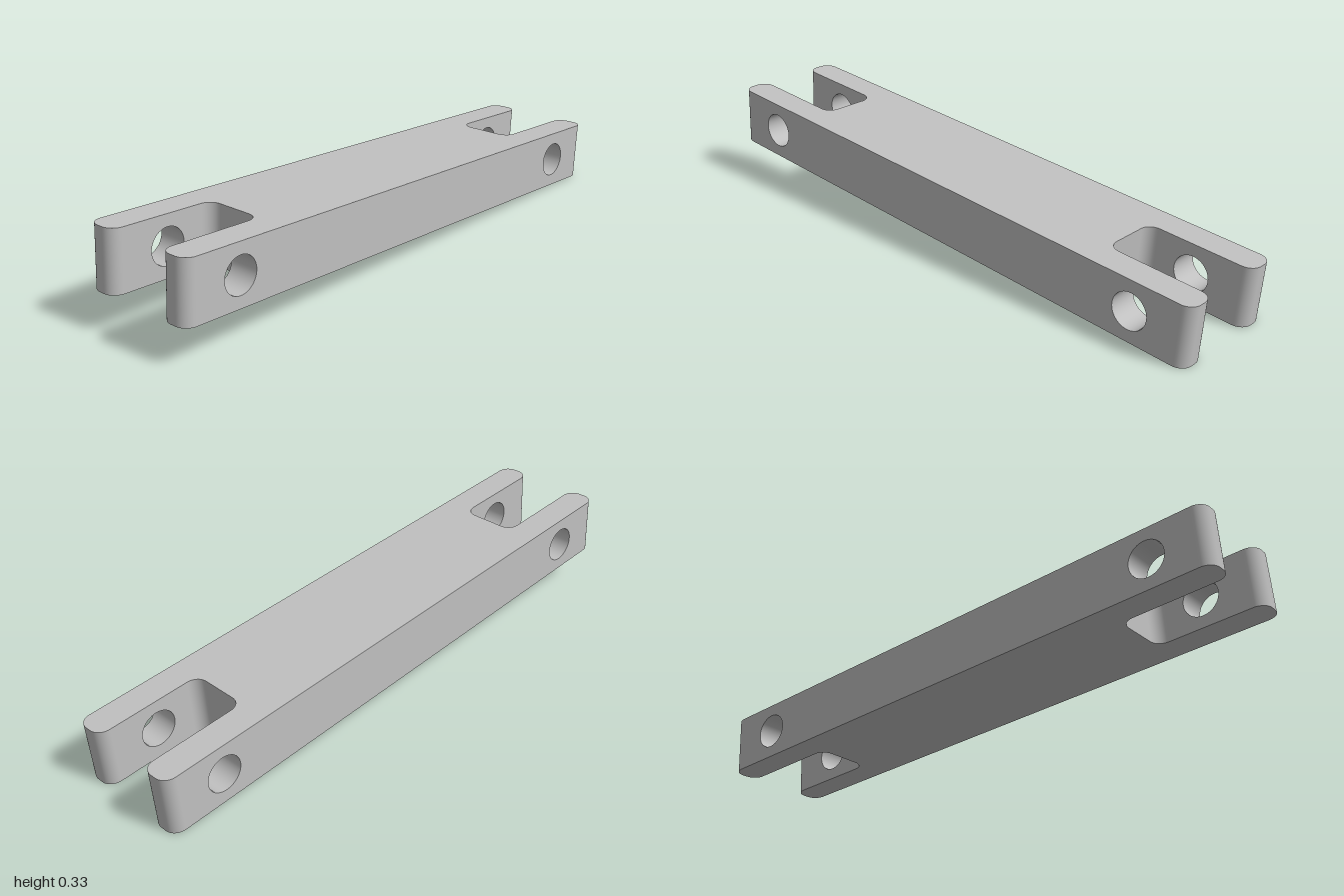
import * as THREE from 'three';

const L = 1.991, H = 0.2, W = 0.4;      // bar length, height, width
const NOTCH = 0.632, R = 0.04;          // slot floor position, corner radius
const PIN = 0.797, PIN_R = 0.06;        // cross hole position and radius
const TILT = Math.asin(0.127 / L);

// Arc in plan as [x, z, normalX, normalZ]; sign -1 makes the normals face the centre
function arc(cx, cz, r, a0, a1, sign, steps = 10) {
  return Array.from({ length: steps + 1 }, (_, i) => {
    const a = a0 + (a1 - a0) * i / steps, c = Math.cos(a), s = Math.sin(a);
    return [cx + r * c, cz + r * s, sign * c, sign * s];
  });
}

// Upright wall along a plan path, with smooth normals
function wall(path, height) {
  const pos = [], nor = [], idx = [];
  path.forEach(([x, z, nx, nz], i) => {
    pos.push(x, -height / 2, z, x, height / 2, z);
    nor.push(nx, 0, nz, nx, 0, nz);
    if (i < path.length - 1) {
      const a = 2 * i;
      idx.push(a, a + 2, a + 3, a, a + 3, a + 1);
    }
  });
  const g = new THREE.BufferGeometry();
  g.setAttribute('position', new THREE.Float32BufferAttribute(pos, 3));
  g.setAttribute('normal', new THREE.Float32BufferAttribute(nor, 3));
  g.setIndex(idx);
  return g;
}

// Flat side panel facing +z, pierced by round holes
function panel(x0, x1, z, holes) {
  const s = new THREE.Shape();
  s.moveTo(x0, -H / 2).lineTo(x1, -H / 2).lineTo(x1, H / 2).lineTo(x0, H / 2).closePath();
  for (const x of holes) s.holes.push(new THREE.Path().absarc(x, 0, PIN_R, 0, Math.PI * 2, true));
  return new THREE.ShapeGeometry(s, 24).translate(0, 0, z);
}

export function createModel() {
  const grey = new THREE.MeshStandardMaterial({ color: 0xc0c0c0 });
  grey.name = 'grey metal';
  const bar = new THREE.Group();
  bar.name = 'forkedBar';
  const add = (name, geometry, turn = 0) => {
    const m = new THREE.Mesh(geometry, grey);
    m.name = name;
    m.rotation.y = turn;
    bar.add(m);
  };

  // Plan paths for one forked end: two rounded prong tips and the slot
  const q = Math.PI / 2, end = L / 2 - R;
  const tip = (z) => [
    ...arc(end, z + 0.05 - R, R, q, 0, 1),
    ...arc(end, z - 0.05 + R, R, 0, -q, 1),
  ];
  const slot = [
    ...arc(NOTCH + R, 0.1 - R, R, q, 2 * q, -1),
    ...arc(NOTCH + R, -0.1 + R, R, 2 * q, 3 * q, -1),
  ];

  // Top and bottom faces
  const half = [...tip(0.15), ...slot, ...tip(-0.15)];
  const outline = [
    ...half.map(([x, z]) => new THREE.Vector2(x, z)),
    ...half.map(([x, z]) => new THREE.Vector2(-x, -z)),
  ];
  const plan = new THREE.ShapeGeometry(new THREE.Shape(outline));
  add('topFace', plan.clone().rotateX(-q).translate(0, H / 2, 0));
  add('bottomFace', plan.clone().rotateX(q).translate(0, -H / 2, 0));

  // Everything else repeats with a half turn
  for (const turn of [0, Math.PI]) {
    add('outerSide', panel(-end, end, W / 2, [-PIN, PIN]), turn);
    add('prongInnerSide', panel(NOTCH + R, end, -0.1, [PIN]), turn);
    add('prongInnerSide', panel(-end, -NOTCH - R, -0.1, [-PIN]), turn);
    add('slotWall', wall(slot, H), turn);
    for (const z of [0.15, -0.15]) {
      add('prongTip', wall(tip(z), H), turn);
      const bore = wall(arc(0, 0, PIN_R, 0, 4 * q, -1, 48), 0.1).rotateX(q);
      add('pinHole', bore.translate(PIN, 0, z), turn);
    }
  }

  // Lean the bar so its right end rests on the ground
  bar.rotation.z = -TILT;
  bar.position.y = (L * Math.sin(TILT) + H * Math.cos(TILT)) / 2;
  const model = new THREE.Group();
  model.name = 'linkBar';
  model.add(bar);
  return model;
}
